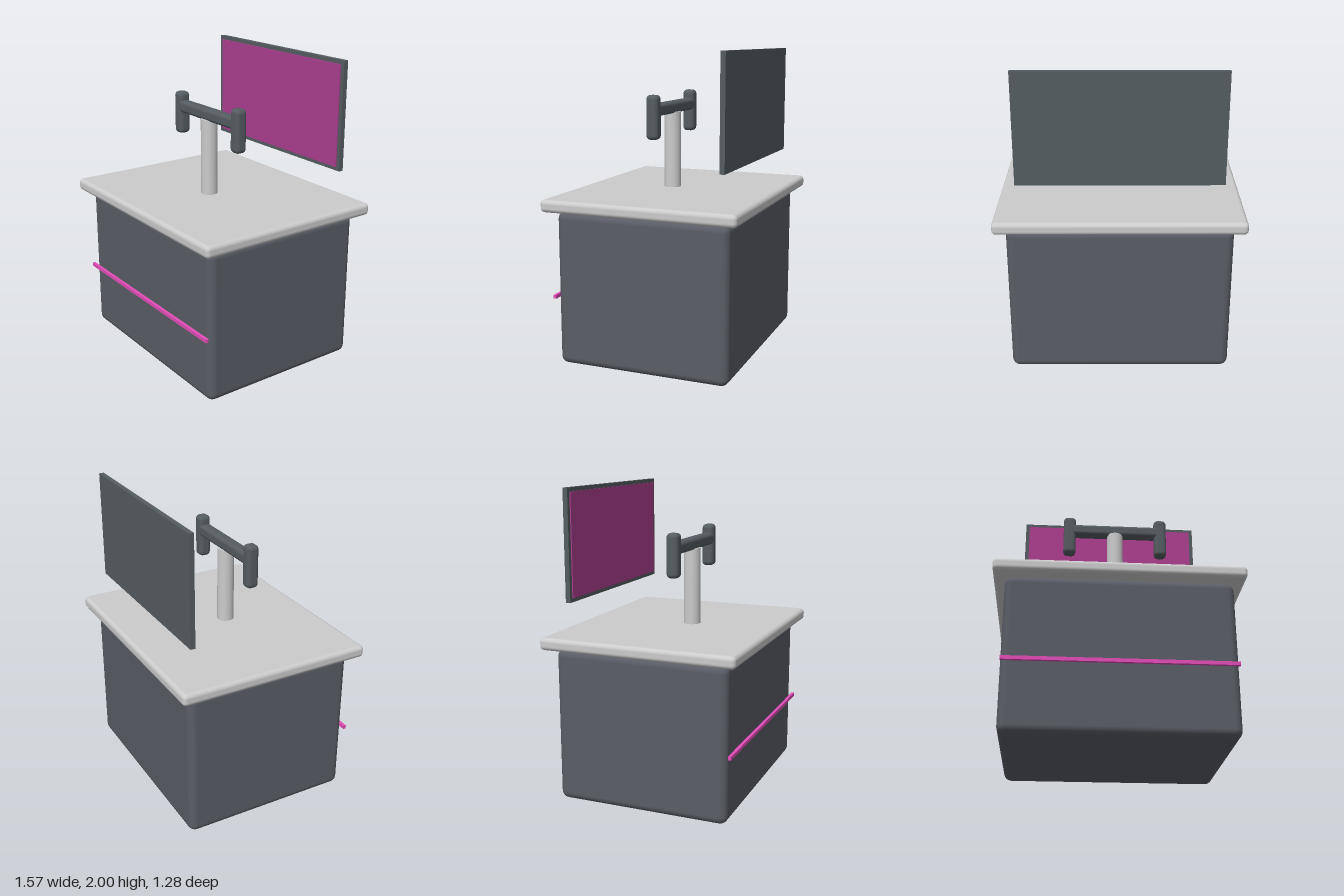
import * as THREE from 'three';
import { RoundedBoxGeometry } from 'three/addons/geometries/RoundedBoxGeometry.js';

export function createModel() {
  const model = new THREE.Group();
  const paint = (color) => new THREE.MeshStandardMaterial({ color });
  const bodyGrey = paint(0x5a5d66);
  const darkGrey = paint(0x555d62);
  const lightGrey = paint(0xcccccc);
  const screenPink = paint(0xad3f90);
  const stripePink = paint(0xe44db8);

  function add(name, geometry, material, x, y, z) {
    const mesh = new THREE.Mesh(geometry, material);
    mesh.name = name;
    mesh.position.set(x, y, z);
    model.add(mesh);
    return mesh;
  }
  const rounded = (w, h, d, r) => new RoundedBoxGeometry(w, h, d, 4, r);

  // Cabinet with overhanging counter top
  add('cabinet', rounded(1.42, 1.0, 1.14, 0.05), bodyGrey, 0, 0.503, 0);
  add('counterTop', rounded(1.57, 0.08, 1.284, 0.028), lightGrey, 0, 1.045, 0);

  // Accent strip floating just ahead of the cabinet front
  add('accentStrip', new THREE.BoxGeometry(1.42, 0.023, 0.02), stripePink, 0, 0.446, 0.592);

  // Post carrying a crossbar with two upright grips
  add('post', new THREE.CylinderGeometry(0.055, 0.055, 0.51, 32), lightGrey, 0, 1.335, 0.071);
  add('crossbar', rounded(0.64, 0.08, 0.08, 0.025), darkGrey, 0, 1.62, 0.071);
  for (const side of [-1, 1]) {
    add(side > 0 ? 'leftGrip' : 'rightGrip', rounded(0.084, 0.284, 0.082, 0.028), darkGrey, side * 0.314, 1.575, 0.071);
  }

  // Display behind the post: frame and slightly raised screen
  add('displayFrame', new THREE.BoxGeometry(1.284, 0.71, 0.032), darkGrey, 0, 1.645, -0.506);
  add('screen', new THREE.BoxGeometry(1.23, 0.66, 0.01), screenPink, 0, 1.645, -0.488);

  return model;
}
